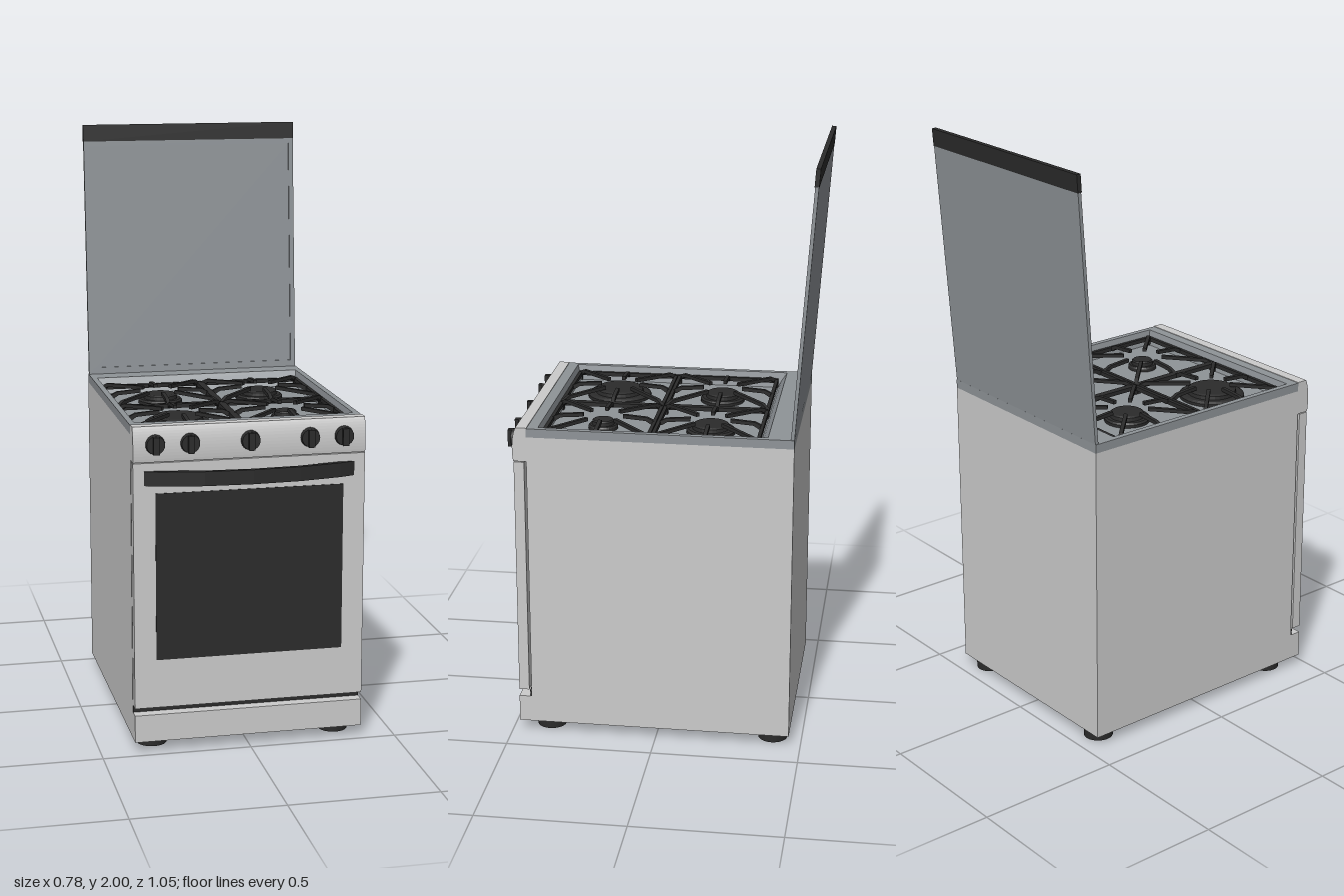
import * as THREE from 'three';

const material = (name, color, side = THREE.FrontSide) => {
  const m = new THREE.MeshStandardMaterial({ color, side });
  m.name = name;
  return m;
};

export function createModel() {
  const enamel = material('pale enamel', 0xcccccc, THREE.DoubleSide);
  const steel = material('grey steel', 0x8f9498, THREE.DoubleSide);
  const black = material('black iron', 0x2b2b2b);
  const stove = new THREE.Group();
  stove.name = 'stove';

  const add = (parent, name, geo, mat, x = 0, y = 0, z = 0) => {
    const m = new THREE.Mesh(geo, mat);
    m.name = name;
    m.position.set(x, y, z);
    parent.add(m);
    return m;
  };
  // Box given by its limits on each axis
  const box = (parent, name, mat, [x0, x1], [y0, y1], [z0, z1]) =>
    add(parent, name, new THREE.BoxGeometry(x1 - x0, y1 - y0, z1 - z0), mat,
      (x0 + x1) / 2, (y0 + y1) / 2, (z0 + z1) / 2);
  const extrude = (shape, depth) => new THREE.ExtrudeGeometry(shape, { depth, bevelEnabled: false, curveSegments: 12 });
  const rectPath = (Type, x0, y0, x1, y1) => new Type([[x0, y0], [x1, y0], [x1, y1], [x0, y1]].map(p => new THREE.Vector2(...p)));
  // Flat-sided loft through rectangles [half width, z back, z front, y]
  const loft = (rects, capStart, capEnd) => {
    const v = [];
    const loops = rects.map(([w, b, f, y]) => [[-w, y, f], [w, y, f], [w, y, b], [-w, y, b]]);
    const quad = (a, b, c, d) => v.push(...a, ...b, ...c, ...a, ...c, ...d);
    for (let i = 0; i + 1 < loops.length; i++)
      for (let k = 0; k < 4; k++) {
        const n = (k + 1) % 4;
        quad(loops[i][k], loops[i][n], loops[i + 1][n], loops[i + 1][k]);
      }
    if (capStart) quad(...[...loops[0]].reverse());
    if (capEnd) quad(...loops[loops.length - 1]);
    const g = new THREE.BufferGeometry();
    g.setAttribute('position', new THREE.Float32BufferAttribute(v, 3));
    g.computeVertexNormals();
    return g;
  };

  // Cabinet and sunken hob tray
  const W = 0.388;
  add(stove, 'cabinet', loft([[W, -0.46, 0.432, 0.037], [W, -0.46, 0.432, 1.075]], true, false), enamel);
  add(stove, 'hobTray', loft([
    [W, -0.46, 0.432, 1.075], [W, -0.46, 0.432, 1.105], [0.368, -0.372, 0.394, 1.105],
    [0.362, -0.352, 0.387, 1.075], [0.358, -0.34, 0.382, 1.052],
  ], false, true), steel);

  // Front: drawer, dark gap, oven door and window
  box(stove, 'drawer', enamel, [-W, W], [0.037, 0.13], [0.432, 0.475]);
  box(stove, 'drawerGap', black, [-W, W], [0.13, 0.155], [0.431, 0.437]);
  box(stove, 'ovenDoor', enamel, [-W, W], [0.155, 0.987], [0.44, 0.475]);
  box(stove, 'ovenWindow', black, [-0.315, 0.315], [0.32, 0.885], [0.471, 0.477]);

  // Control panel with a gently rounded face, extruded across the width
  const panel = new THREE.Shape();
  panel.moveTo(0.43, 0.99);
  panel.lineTo(0.476, 0.99);
  panel.bezierCurveTo(0.483, 1.03, 0.48, 1.08, 0.467, 1.107);
  panel.lineTo(0.43, 1.107);
  panel.closePath();
  const panelMesh = add(stove, 'controlPanel', extrude(panel, 2 * W), enamel, W);
  panelMesh.rotation.y = -Math.PI / 2;

  // Knobs: round skirt with a narrow grip
  for (const x of [-0.315, -0.2, 0, 0.2, 0.315]) {
    const knob = new THREE.Group();
    knob.name = 'knob';
    knob.position.set(x, 1.048, 0.478);
    const disc = add(knob, 'knobDisc', new THREE.CylinderGeometry(0.03, 0.033, 0.018, 24), black, 0, 0, 0.006);
    disc.rotation.x = Math.PI / 2;
    box(knob, 'knobGrip', black, [-0.01, 0.01], [-0.029, 0.029], [0.01, 0.029]);
    stove.add(knob);
  }

  // Bowed door handle
  const bow = new THREE.Shape();
  const bowPts = [[-0.355, 0.474], [-0.3, 0.492], [-0.16, 0.517], [0, 0.525], [0.16, 0.517], [0.3, 0.492], [0.355, 0.474]];
  bowPts.forEach(([x, z], i) => (i ? bow.lineTo(x, z) : bow.moveTo(x, z)));
  [...bowPts].reverse().forEach(([x, z]) => bow.lineTo(x * 0.97, z - 0.016));
  bow.closePath();
  const handle = add(stove, 'doorHandle', extrude(bow, 0.048), black, 0, 0.96, 0);
  handle.rotation.x = Math.PI / 2;

  // Feet
  for (const x of [-0.315, 0.315])
    for (const z of [0.375, -0.4])
      add(stove, 'foot', new THREE.CylinderGeometry(0.05, 0.05, 0.038, 24), black, x, 0.019, z);

  // Burners: [x, z, radius]
  for (const [x, z, r] of [[-0.178, -0.16, 0.077], [0.18, -0.162, 0.083], [-0.187, 0.21, 0.112], [0.185, 0.206, 0.05]]) {
    const profile = [[0, 0], [r, 0], [r, 0.012], [r * 0.92, 0.018], [r * 0.76, 0.018], [r * 0.74, 0.03], [r * 0.66, 0.034], [0, 0.034]];
    const geo = new THREE.LatheGeometry(profile.map(p => new THREE.Vector2(...p)), 32).toNonIndexed();
    geo.computeVertexNormals();
    add(stove, 'burner', geo, black, x, 1.05, z);
  }

  // Pan supports: square frame, corner feet and eight raised fingers
  const H = 0.176;
  const fingerGeo = (outer, inner) => {
    const pts = [[outer, 1.072], [outer, 1.084], [outer - 0.025, 1.096], [inner + 0.01, 1.102], [inner, 1.102],
      [inner, 1.09], [outer - 0.03, 1.084], [outer - 0.012, 1.072]];
    const g = extrude(new THREE.Shape(pts.map(p => new THREE.Vector2(...p))), 0.013);
    return g.translate(0, 0, -0.0065);
  };
  for (const x of [-0.182, 0.182])
    for (const z of [-0.16, 0.206]) {
      const grate = new THREE.Group();
      grate.name = 'panSupport';
      grate.position.set(x, 0, z);
      for (const s of [-1, 1]) {
        const edge = [s * H - 0.006, s * H + 0.006];
        box(grate, 'frameBar', black, edge, [1.07, 1.084], [-H - 0.006, H + 0.006]);
        box(grate, 'frameBar', black, [-H, H], [1.07, 1.084], edge);
        for (const t of [-1, 1])
          box(grate, 'supportFoot', black, edge, [1.05, 1.072], [t * H - 0.006, t * H + 0.006]);
      }
      for (let i = 0; i < 8; i++) {
        const finger = add(grate, 'finger', fingerGeo(i % 2 ? H * Math.SQRT2 : H, 0.068), black);
        finger.rotation.y = i * Math.PI / 4;
      }
      stove.add(grate);
    }

  // Raised lid, leaning back, with a thin rim and a dark top grip
  const lid = new THREE.Group();
  lid.name = 'lid';
  lid.position.set(0, 1.1, -0.4535);
  lid.rotation.x = -0.072;
  box(lid, 'lidPanel', steel, [-0.386, 0.386], [0, 0.845], [-0.006, 0.001]);
  const rim = rectPath(THREE.Shape, -0.386, 0, 0.386, 0.845);
  rim.holes.push(rectPath(THREE.Path, -0.369, 0.028, 0.369, 0.825));
  add(lid, 'lidRim', extrude(rim, 0.005), steel, 0, 0, 0.001);
  box(lid, 'lidGrip', black, [-0.387, 0.387], [0.843, 0.902], [-0.007, 0.008]);
  stove.add(lid);

  return stove;
}
